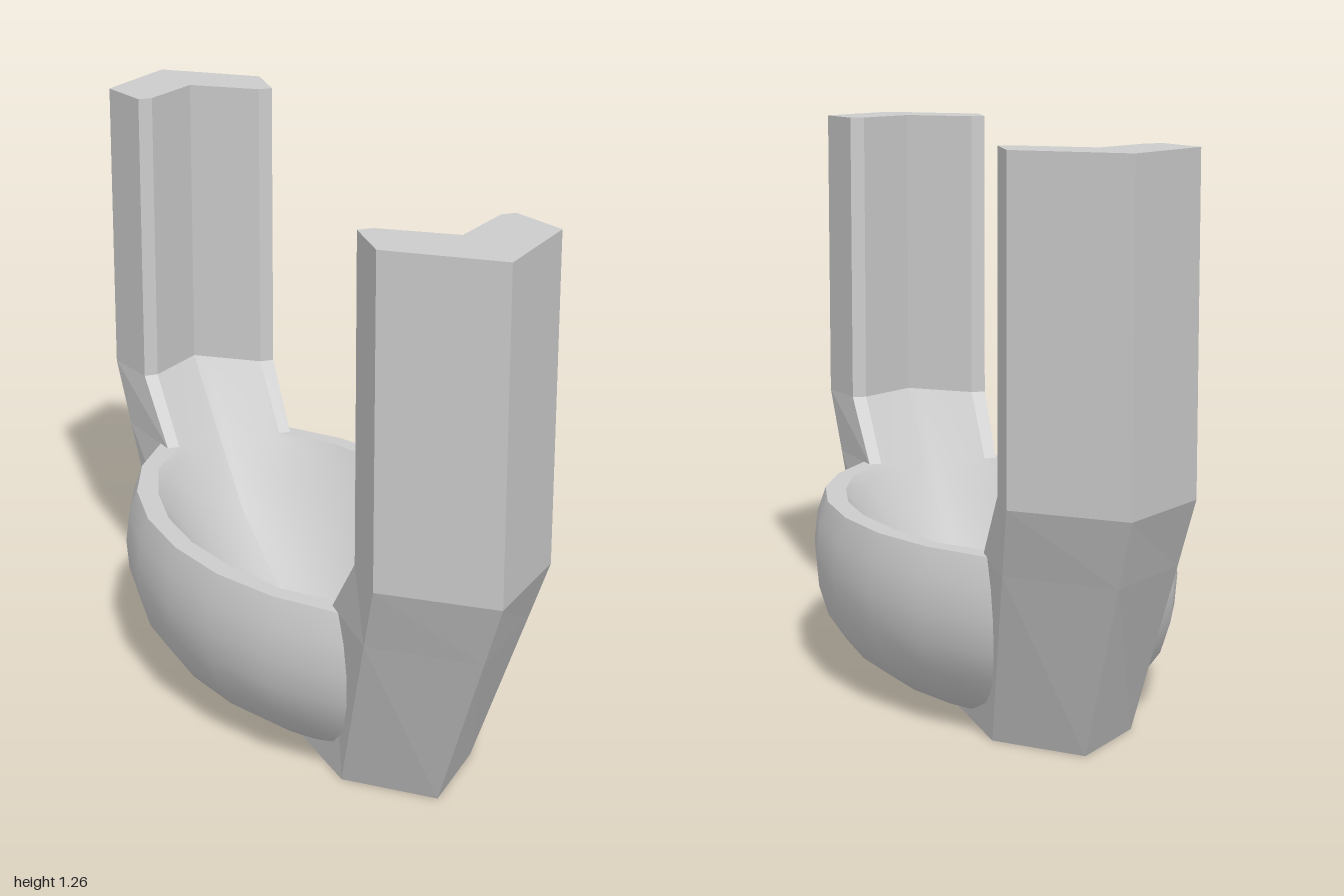
import * as THREE from 'three';
import { mergeGeometries } from 'three/addons/utils/BufferGeometryUtils.js';

const V = (x, y, z) => [x, y, z];

// Surface through rows of points on the +x side, repeated mirrored on the -x side
function loft(rows, smooth) {
  const halves = [rows, rows.map(r => r.map(([x, y, z]) => [-x, y, z]).reverse())];
  const geos = halves.map(rs => {
    const n = rs[0].length, index = [];
    for (let r = 0; r < rs.length - 1; r++) {
      for (let c = 0; c < n - 1; c++) {
        const a = r * n + c, b = a + n;
        index.push(a, b, b + 1, a, b + 1, a + 1);
      }
    }
    let g = new THREE.BufferGeometry();
    g.setAttribute('position', new THREE.Float32BufferAttribute(rs.flat(2), 3));
    g.setIndex(index);
    if (!smooth) g = g.toNonIndexed();
    g.computeVertexNormals();
    return g;
  });
  return mergeGeometries(geos);
}

// Run a half list from the far end (-z) to the near end (+z)
const bothEnds = (half, flip) => [...half.map(flip).reverse(), ...half];

export function createModel() {
  const group = new THREE.Group();
  const smoothMat = new THREE.MeshStandardMaterial({ color: 0xcccccc, side: THREE.DoubleSide });
  const flatMat = new THREE.MeshStandardMaterial({ color: 0xcccccc, side: THREE.DoubleSide, flatShading: true });
  const add = (parent, name, geo, mat) => {
    const m = new THREE.Mesh(geo, mat);
    m.name = name;
    parent.add(m);
  };

  // Hull: a lens-shaped plan, scaled by height into a rounded belly
  const plan = bothEnds([[0.393, 0.1], [0.357, 0.29], [0.285, 0.46], [0.17, 0.62], [0.1, 0.69]], ([x, z]) => [x, -z]);
  const belly = [[0, 0.52], [0.025, 0.67], [0.07, 0.825], [0.13, 0.93], [0.2, 0.985],
    [0.27, 1], [0.34, 0.98], [0.4, 0.93]];
  const ring = ([y, s]) => plan.map(([x, z]) => V(x * s, y, z * (1 - (1 - s) * 0.75)));
  const bowl = new THREE.Group();
  bowl.name = 'bowl';
  group.add(bowl);
  add(bowl, 'bowlOuterWall', loft(belly.map(ring), true), smoothMat);
  const base = ring(belly[0]);
  add(bowl, 'bowlUnderside', loft([base.map(p => V(0, 0, p[2])), base], false), flatMat);

  // Hollow: each section has side [width, y, z], keel [y, z] and a curve power
  const sections = bothEnds([
    { side: [0.32, 0.4, 0.08], keel: [0.085, 0.08], p: 1.9 },
    { side: [0.29, 0.4, 0.24], keel: [0.15, 0.25], p: 1.8 },
    { side: [0.235, 0.4, 0.4], keel: [0.245, 0.44], p: 1.5 },
    { side: [0.135, 0.4, 0.53], keel: [0.375, 0.59], p: 1 },
    { side: [0.14, 0.55, 0.67], keel: [0.55, 0.785], p: 1 },
  ], ({ side: [w, y, z], keel: [ky, kz], p }) => ({ side: [w, y, -z], keel: [ky, -kz], p }));
  const hollow = [];
  for (let i = 0; i <= 8; i++) {
    const u = 1 - i / 8;
    hollow.push(sections.map(({ side: [w, y, z], keel: [ky, kz], p }) =>
      V(w * u, ky + (y - ky) * Math.pow(u, p), kz + (z - kz) * u)));
  }
  add(bowl, 'bowlHollow', loft(hollow, true), smoothMat);

  // Flat rim between the outer wall and the hollow
  const rimOuter = ring(belly[belly.length - 1]).slice(1, -1);
  const rimInner = sections.slice(1, -1).map(s => V(...s.side));
  add(bowl, 'bowlRim', loft([rimOuter, rimInner], false), flatMat);

  // Upright: an extruded chevron with a V groove on its inner side
  const half = [[0.2, 0.82], [0.175, 0.67], [0.14, 0.67]];
  const outline = [[0, 1], ...half, [0, 0.785], ...half.map(([x, z]) => [-x, z]).reverse()];
  const chevron = new THREE.Shape(outline.map(([x, z]) => new THREE.Vector2(x, -z)));
  const upright = new THREE.ExtrudeGeometry(chevron, { depth: 0.71, bevelEnabled: false });
  upright.rotateX(-Math.PI / 2).translate(0, 0.55, 0);

  // Leaning foot below the upright: outer faces, ledges beside the groove, sole
  const foot = loft([
    [V(0.155, 0, 0.28), V(0.155, 0, 0.56), V(0, 0, 0.72)],
    [V(0.165, 0.4, 0.53), V(0.188, 0.4, 0.749), V(0, 0.4, 0.924)],
    [V(0.175, 0.55, 0.67), V(0.2, 0.55, 0.82), V(0, 0.55, 1)],
  ], false);
  const ledge = loft([
    [V(0.135, 0.4, 0.53), V(0.165, 0.4, 0.53)],
    [V(0.14, 0.55, 0.67), V(0.175, 0.55, 0.67)],
  ], false);
  const sole = loft([
    [V(0, 0, 0.28), V(0, 0, 0.72)],
    [V(0.155, 0, 0.28), V(0.155, 0, 0.56)],
  ], false);

  for (const name of ['frontPost', 'backPost']) {
    const post = new THREE.Group();
    post.name = name;
    if (name === 'backPost') post.rotation.y = Math.PI;
    add(post, 'upright', upright, flatMat);
    add(post, 'foot', foot, flatMat);
    add(post, 'ledge', ledge, flatMat);
    add(post, 'sole', sole, flatMat);
    group.add(post);
  }
  return group;
}
